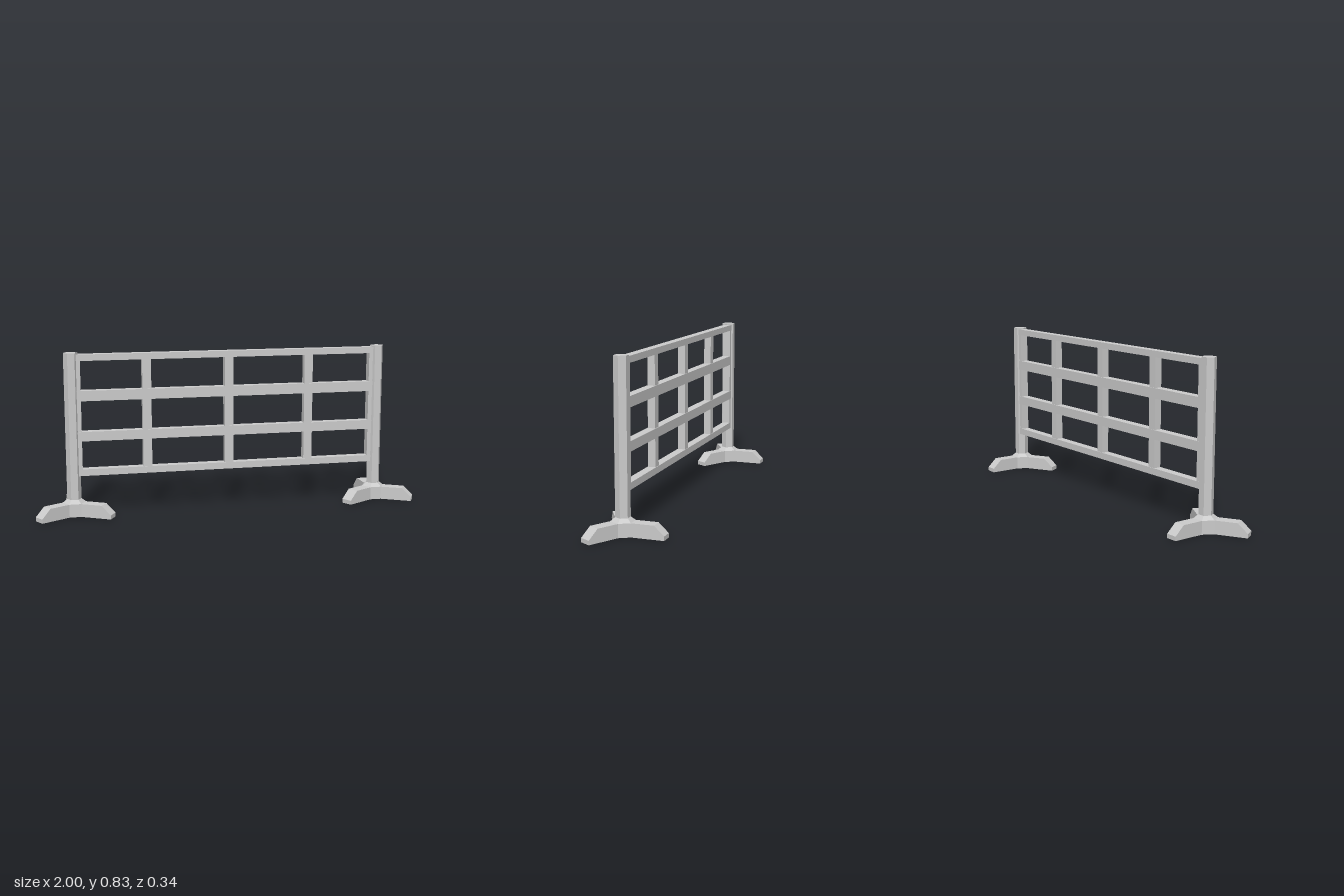
import * as THREE from 'three';

const material = new THREE.MeshStandardMaterial({ color: 0xcccccc, flatShading: true });
const POST_X = 0.802, AXIS_Z = 0.041;
const HUB_R = 0.059, HUB_APOTHEM = HUB_R * Math.cos(Math.PI / 6);

function add(parent, name, geometry, x = 0, y = 0, z = 0) {
  const mesh = new THREE.Mesh(geometry, material);
  mesh.name = name;
  mesh.position.set(x, y, z);
  parent.add(mesh);
  return mesh;
}

// Six-sided prism or frustum with corners pointing along x
function hexPrism(parent, name, rTop, rBottom, y0, y1) {
  const geometry = new THREE.CylinderGeometry(rTop, rBottom, y1 - y0, 6).rotateY(Math.PI / 6);
  add(parent, name, geometry, 0, (y0 + y1) / 2, 0);
}

// Foot arm: side profile with a sloped toe, extruded to the width of a hub face
function armGeometry() {
  const profile = new THREE.Shape([
    [HUB_APOTHEM, 0], [0.212, 0], [0.212, 0.021], [0.163, 0.067], [HUB_APOTHEM, 0.067],
  ].map(([r, y]) => new THREE.Vector2(r, y)));
  return new THREE.ExtrudeGeometry(profile, { depth: HUB_R, bevelEnabled: false })
    .translate(0, 0, -HUB_R / 2);
}

// Post standing on a three-armed foot
function createStand(name, x) {
  const stand = new THREE.Group();
  stand.name = name;
  stand.position.set(x, 0, AXIS_Z);
  hexPrism(stand, 'footHub', HUB_R, HUB_R, 0, 0.067);
  hexPrism(stand, 'collar', 0.036, HUB_R, 0.067, 0.085);
  hexPrism(stand, 'post', 0.036, 0.036, 0.085, 0.828);
  for (const degrees of [90, 210, 330]) {
    add(stand, 'footArm', armGeometry()).rotation.y = THREE.MathUtils.degToRad(degrees);
  }
  return stand;
}

// Rails and uprights between the two posts
function createPanel() {
  const panel = new THREE.Group();
  panel.name = 'fencePanel';
  panel.position.z = AXIS_Z - 0.002;
  for (const [y0, y1] of [[0.204, 0.238], [0.382, 0.43], [0.586, 0.638], [0.788, 0.82]]) {
    add(panel, 'rail', new THREE.BoxGeometry(2 * POST_X - 0.04, y1 - y0, 0.044), 0, (y0 + y1) / 2);
  }
  const uprightHeight = 0.57;
  for (const x of [-0.425, 0, 0.425]) {
    add(panel, 'upright', new THREE.BoxGeometry(0.045, uprightHeight, 0.038), x, 0.512);
  }
  for (const side of [-1, 1]) {
    add(panel, 'endUpright', new THREE.BoxGeometry(0.03, uprightHeight, 0.042), side * 0.772, 0.512);
  }
  return panel;
}

export function createModel() {
  const model = new THREE.Group();
  model.name = 'fence';
  model.add(createStand('leftStand', POST_X), createStand('rightStand', -POST_X), createPanel());
  return model;
}
